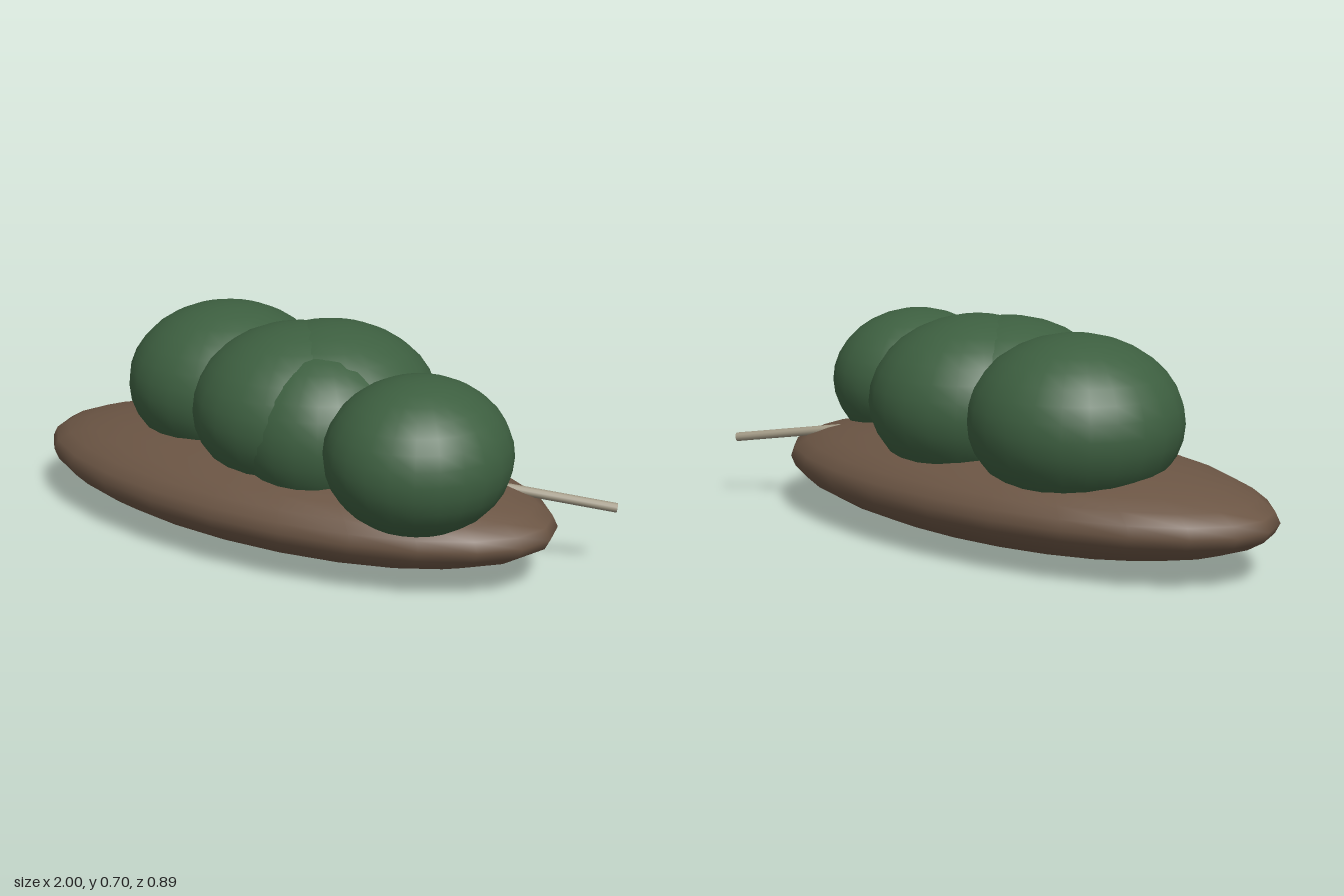
import * as THREE from 'three';

const soil = new THREE.MeshStandardMaterial({ color: 0x6b5544 });
const leaf = new THREE.MeshStandardMaterial({ color: 0x3d5f40 });
const wood = new THREE.MeshStandardMaterial({ color: 0xa09884 });

// Smooth ellipsoid from a centre and three radii
function ellipsoid(name, material, centre, radii, segments, rings) {
  const geometry = new THREE.SphereGeometry(1, segments, rings);
  geometry.scale(...radii);
  const mesh = new THREE.Mesh(geometry, material);
  mesh.name = name;
  mesh.position.set(...centre);
  return mesh;
}

// Straight rod between two points
function rod(name, material, from, to, radius) {
  const a = new THREE.Vector3(...from);
  const b = new THREE.Vector3(...to);
  const mesh = new THREE.Mesh(new THREE.CylinderGeometry(radius, radius, a.distanceTo(b), 12), material);
  mesh.name = name;
  mesh.position.copy(a).lerp(b, 0.5);
  mesh.quaternion.setFromUnitVectors(new THREE.Vector3(0, 1, 0), b.sub(a).normalize());
  return mesh;
}

export function createModel() {
  const model = new THREE.Group();
  model.name = 'mossyMound';

  // Flattened earth base
  model.add(ellipsoid('earthMound', soil, [-0.05, 0.17, -0.015], [0.95, 0.17, 0.435], 24, 16));

  // Overlapping rounded bushes, the middle one made of three lobes
  const bushes = new THREE.Group();
  bushes.name = 'bushes';
  const lobes = [
    ['rightBush', [-0.35, 0.43, -0.1], [0.34, 0.265, 0.33]],
    ['middleBushMain', [0, 0.43, 0], [0.345, 0.27, 0.345]],
    ['middleBushBack', [0.08, 0.43, -0.06], [0.35, 0.275, 0.35]],
    ['middleBushFront', [0.13, 0.4, 0.06], [0.28, 0.26, 0.28]],
    ['leftBush', [0.53, 0.415, 0.145], [0.285, 0.24, 0.297]],
  ];
  for (const [name, centre, radii] of lobes) {
    bushes.add(ellipsoid(name, leaf, centre, radii, 24, 16));
  }
  model.add(bushes);

  // Thin twig poking out of the mound
  model.add(rod('twig', wood, [0.64, 0.263, -0.11], [0.993, 0.21, -0.277], 0.015));

  return model;
}
